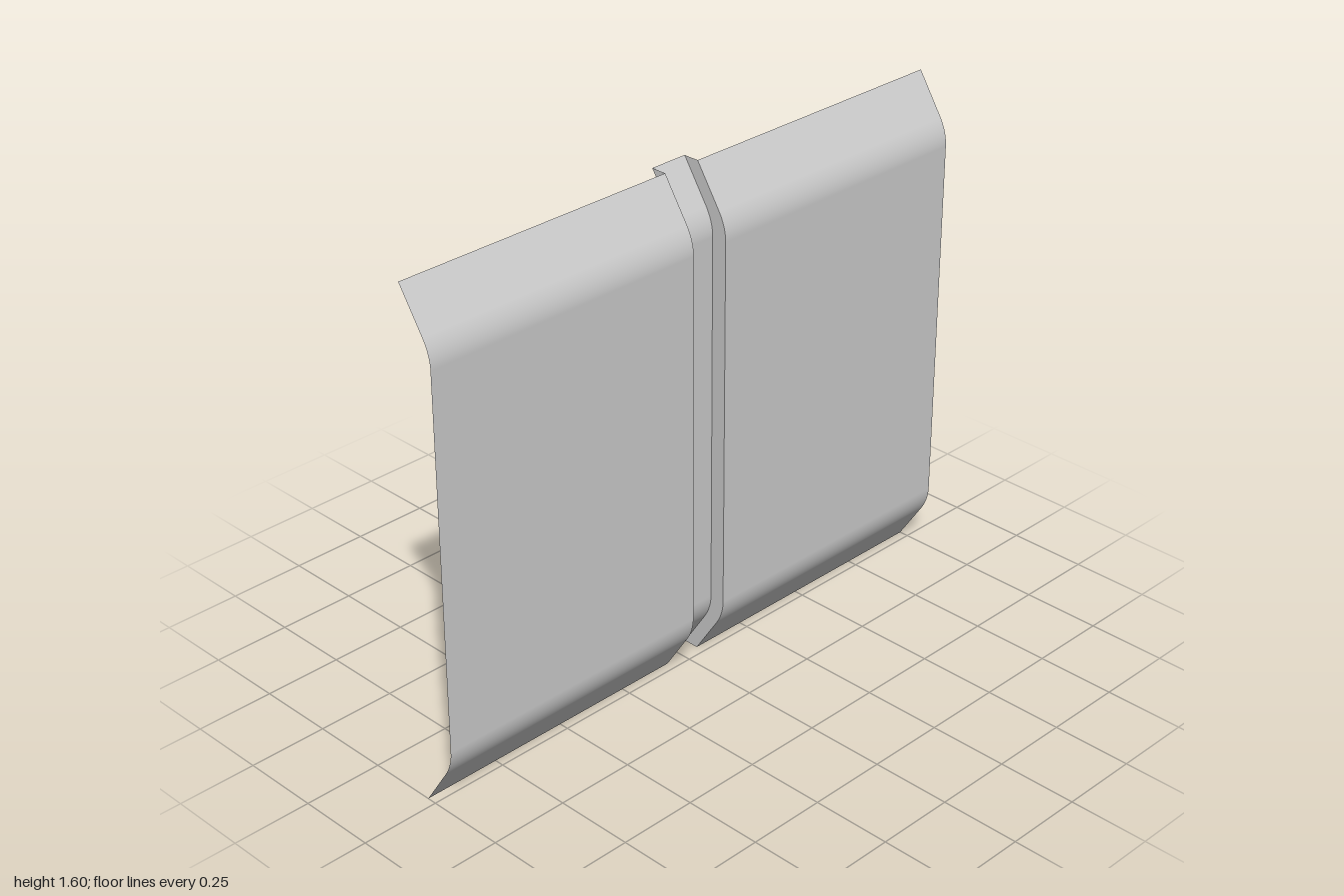
import * as THREE from 'three';

const STEP = 0.05;      // depth of the recessed channel
const HALF = 0.0625;    // half width of the channel
const HEIGHT = 1.6;

// Bent side profile of the recessed channel, bottom to top: flare, bend, straight, bend, flare
function makeProfile() {
  const bend = new THREE.QuadraticBezierCurve(
    new THREE.Vector2(0.003, 0.127),
    new THREE.Vector2(0.029, 0.168),
    new THREE.Vector2(0.029, 0.212)
  ).getPoints(10);
  const lower = [new THREE.Vector2(-0.08, 0), ...bend];
  const upper = lower.map(p => new THREE.Vector2(p.x, HEIGHT - p.y)).reverse();
  return [...lower, ...upper];
}

// Strip running up the profile between two edges, each given as [x offset, z]
function ribbon(profile, edgeA, edgeB) {
  const positions = [], index = [];
  profile.forEach((p, i) => {
    for (const [dx, z] of [edgeA, edgeB]) positions.push(p.x + dx, p.y, z);
    if (i > 0) {
      const a = 2 * (i - 1);
      index.push(a, a + 1, a + 2, a + 1, a + 3, a + 2);
    }
  });
  const geometry = new THREE.BufferGeometry();
  geometry.setAttribute('position', new THREE.Float32BufferAttribute(positions, 3));
  geometry.setIndex(index);
  geometry.computeVertexNormals();
  return geometry;
}

export function createModel() {
  const group = new THREE.Group();
  group.name = 'bentPanel';
  const material = new THREE.MeshStandardMaterial({ color: 0xcccccc, side: THREE.DoubleSide });
  const profile = makeProfile();

  // Cross-section from front to back: panel, wall, channel floor, wall, panel
  const section = [[STEP, 1], [STEP, HALF], [0, HALF], [0, -HALF], [STEP, -HALF], [STEP, -1]];
  const names = ['frontPanel', 'frontChannelWall', 'channelFloor', 'backChannelWall', 'backPanel'];
  names.forEach((name, i) => {
    const mesh = new THREE.Mesh(ribbon(profile, section[i], section[i + 1]), material);
    mesh.name = name;
    group.add(mesh);
  });
  return group;
}
